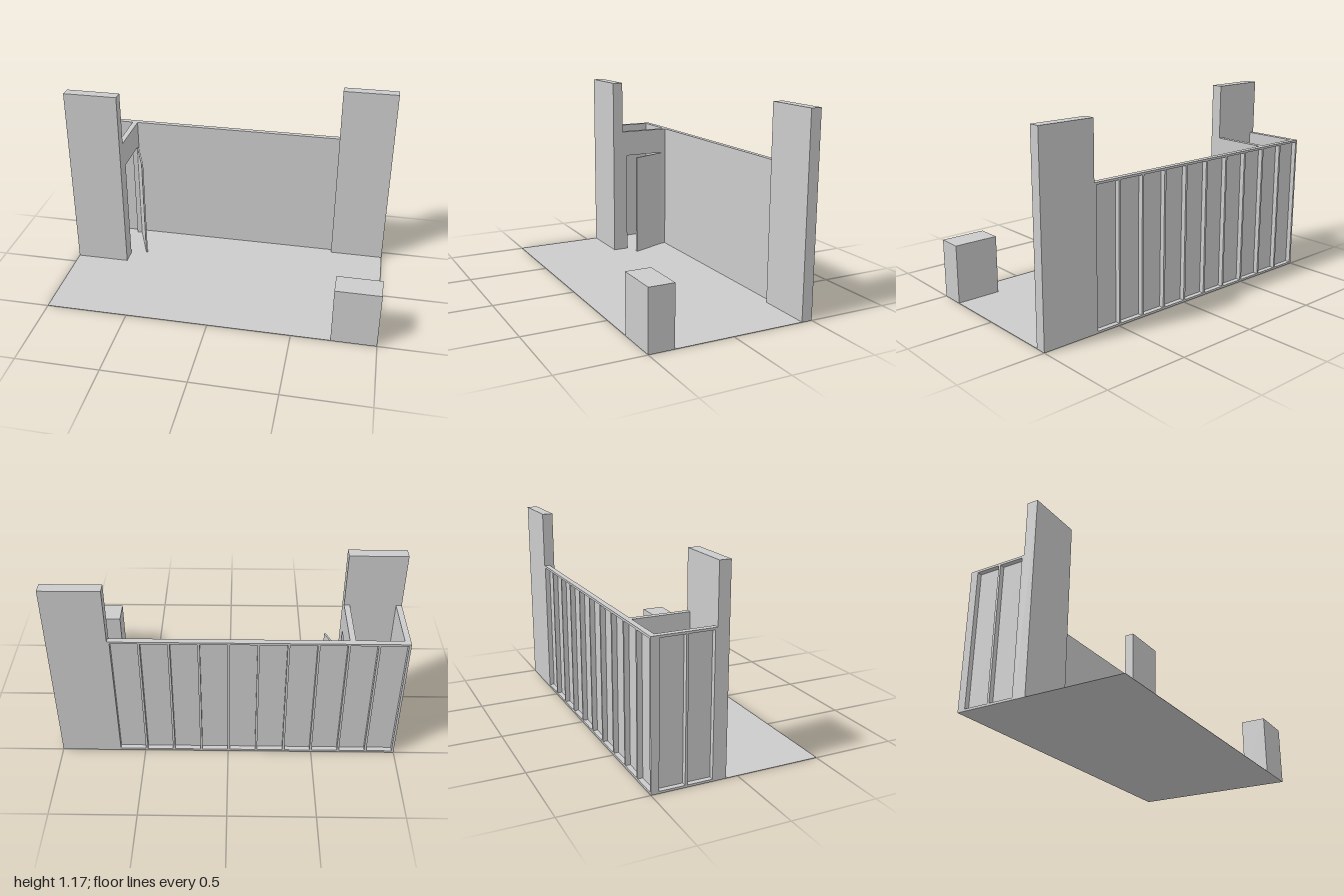
import * as THREE from 'three';

const material = new THREE.MeshStandardMaterial({ color: 0xcccccc, flatShading: true });

// Box given by its lower and upper corners
function block(parent, name, [x0, y0, z0], [x1, y1, z1]) {
  const mesh = new THREE.Mesh(new THREE.BoxGeometry(x1 - x0, y1 - y0, z1 - z0), material);
  mesh.name = name;
  mesh.position.set((x0 + x1) / 2, (y0 + y1) / 2, (z0 + z1) / 2);
  parent.add(mesh);
  return mesh;
}

// Stud wall along local x with its panel on the +z face and open framing on the -z face
function studWall(name, length, height, depth, bays) {
  const wall = new THREE.Group();
  wall.name = name;
  const lumber = 0.013, skin = 0.004, back = depth - skin;
  block(wall, 'panel', [0, 0, back], [length, height, depth]);
  block(wall, 'bottomPlate', [0, 0, 0], [length, lumber, back]);
  block(wall, 'topPlate', [0, height - lumber, 0], [length, height, back]);
  for (let i = 0; i <= bays; i++) {
    const x = ((length - lumber) * i) / bays;
    block(wall, 'stud', [x, lumber, 0], [x + lumber, height - lumber, back]);
  }
  return wall;
}

export function createModel() {
  const model = new THREE.Group();
  model.name = 'stageSet';
  const wallTop = 0.835, thick = 0.033, towerTop = 1.17, doorTop = 0.669;

  // Thin floor, two tall pylons and a counter
  block(model, 'floor', [-1, 0, -0.5], [1, 0.002, 0.5]);
  block(model, 'frontPylon', [-1, 0, -0.137], [-0.667, towerTop, -0.07]);
  block(model, 'backPylon', [0.663, 0, -0.5], [1, towerTop, -0.435]);
  block(model, 'counter', [0.733, 0, 0.35], [1, 0.353, 0.5]);

  // Back wall framing faces the rear
  const backWall = studWall('backWall', 1.663, wallTop, thick, 10);
  backWall.position.set(-1, 0, -0.5);
  model.add(backWall);

  // Closet side wall framing faces -x
  const sideWall = studWall('closetSideWall', 0.33, wallTop, thick, 2);
  sideWall.rotation.y = Math.PI / 2;
  sideWall.position.set(-1, 0, -0.137);
  model.add(sideWall);

  // Closet wall with a doorway
  const doorWall = new THREE.Group();
  doorWall.name = 'closetDoorWall';
  block(doorWall, 'rearJamb', [-0.7, 0, -0.467], [-0.667, doorTop, -0.433]);
  block(doorWall, 'frontJamb', [-0.7, 0, -0.168], [-0.667, doorTop, -0.137]);
  block(doorWall, 'lintel', [-0.7, doorTop, -0.467], [-0.667, wallTop, -0.137]);
  model.add(doorWall);

  // Door swung open from its rear hinge
  const door = new THREE.Group();
  door.name = 'door';
  block(door, 'doorLeaf', [0, 0.004, 0], [0.01, doorTop, 0.26]);
  door.position.set(-0.667, 0, -0.431);
  door.rotation.y = 0.39;
  model.add(door);

  return model;
}
